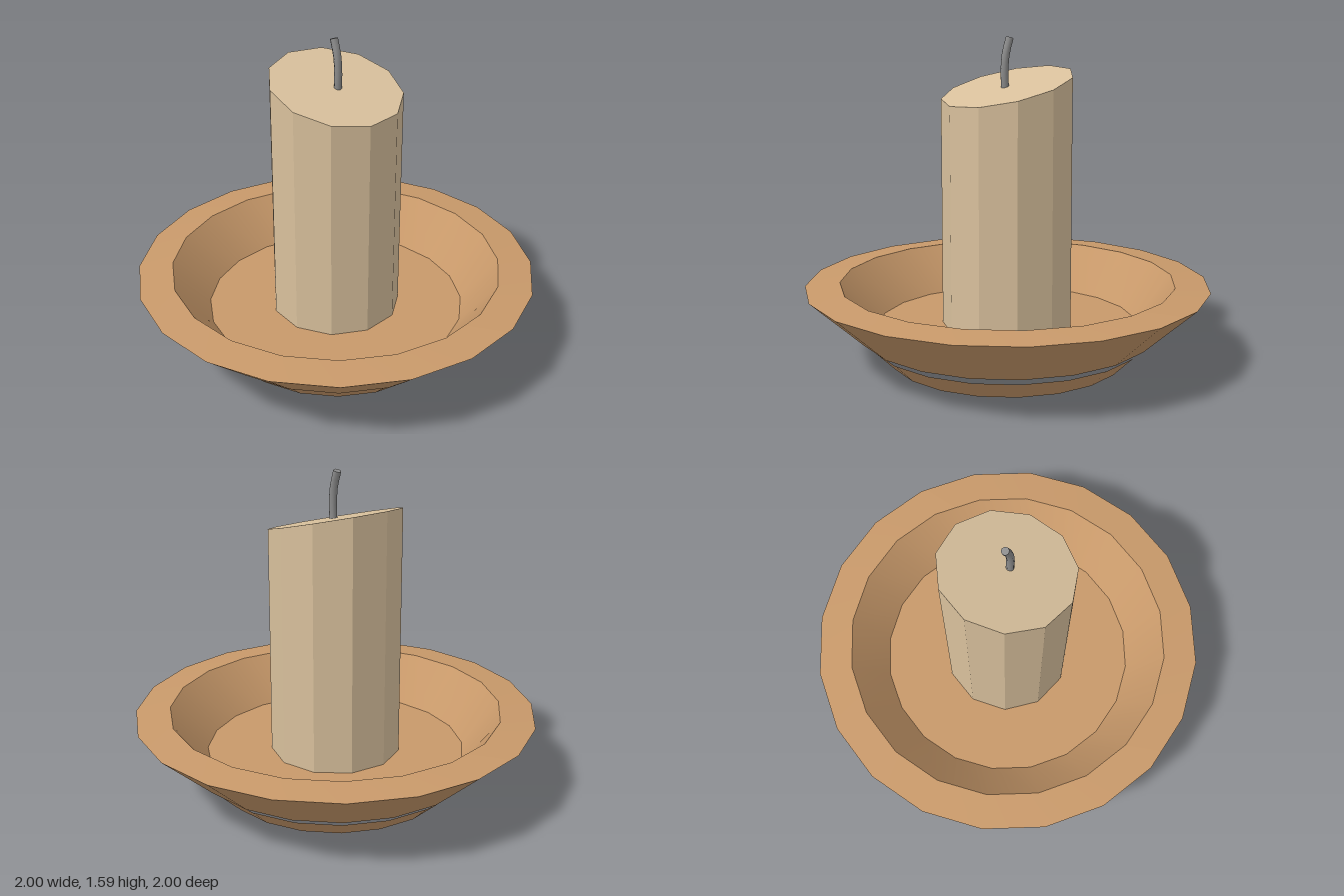
import * as THREE from 'three';
import { toCreasedNormals } from 'three/addons/utils/BufferGeometryUtils.js';

const clay = new THREE.MeshStandardMaterial({ name: 'clay', color: 0xc8996a });
const wax = new THREE.MeshStandardMaterial({ name: 'wax', color: 0xd8c09c });
const wickGrey = new THREE.MeshStandardMaterial({ name: 'wick grey', color: 0x8c8c8c });

const FLOOR = 0.17;

function addMesh(parent, name, geometry, material) {
  const mesh = new THREE.Mesh(geometry, material);
  mesh.name = name;
  parent.add(mesh);
  return mesh;
}

// 20-sided turned part, smooth around and sharp at profile corners
function turned(profile) {
  const points = profile.map(([r, y]) => new THREE.Vector2(r, y));
  return toCreasedNormals(new THREE.LatheGeometry(points, 20), Math.PI / 6);
}

// 11-sided candle with an obliquely cut top
function candleGeometry() {
  const geometry = new THREE.CylinderGeometry(0.322, 0.325, 1, 11, 1, false, Math.PI / 2);
  const pos = geometry.attributes.position;
  for (let i = 0; i < pos.count; i++) {
    const top = pos.getY(i) > 0;
    pos.setY(i, top ? 1.356 - 0.26 * pos.getZ(i) : FLOOR);
  }
  return toCreasedNormals(geometry, 0.3);
}

export function createModel() {
  const model = new THREE.Group();
  model.name = 'candleOnDish';

  // Foot, open at the top with a narrow gap below the dish
  addMesh(model, 'foot', turned([[0, 0], [0.59, 0], [0.69, 0.1]]), clay);

  // Dish: neck, underside ledge, flared wall, rim, inner wall and floor
  addMesh(model, 'dish', turned([
    [0, 0.11], [0.62, 0.11], [0.655, 0.14], [0.74, 0.14], [1, 0.38],
    [0.83, 0.395], [0.65, FLOOR], [0, FLOOR],
  ]), clay);

  addMesh(model, 'candle', candleGeometry(), wax);

  // Bent wick with a flat tip
  const path = new THREE.CatmullRomCurve3([
    new THREE.Vector3(0, 1.33, 0.015),
    new THREE.Vector3(0, 1.43, 0.019),
    new THREE.Vector3(0, 1.51, 0.011),
    new THREE.Vector3(0, 1.585, -0.014),
  ]);
  const wick = new THREE.Group();
  wick.name = 'wick';
  model.add(wick);
  addMesh(wick, 'wickStem', new THREE.TubeGeometry(path, 6, 0.019, 8), wickGrey);
  const tip = addMesh(wick, 'wickTip', new THREE.CircleGeometry(0.019, 8), wickGrey);
  tip.position.copy(path.getPoint(1));
  tip.quaternion.setFromUnitVectors(new THREE.Vector3(0, 0, 1), path.getTangent(1));

  return model;
}
